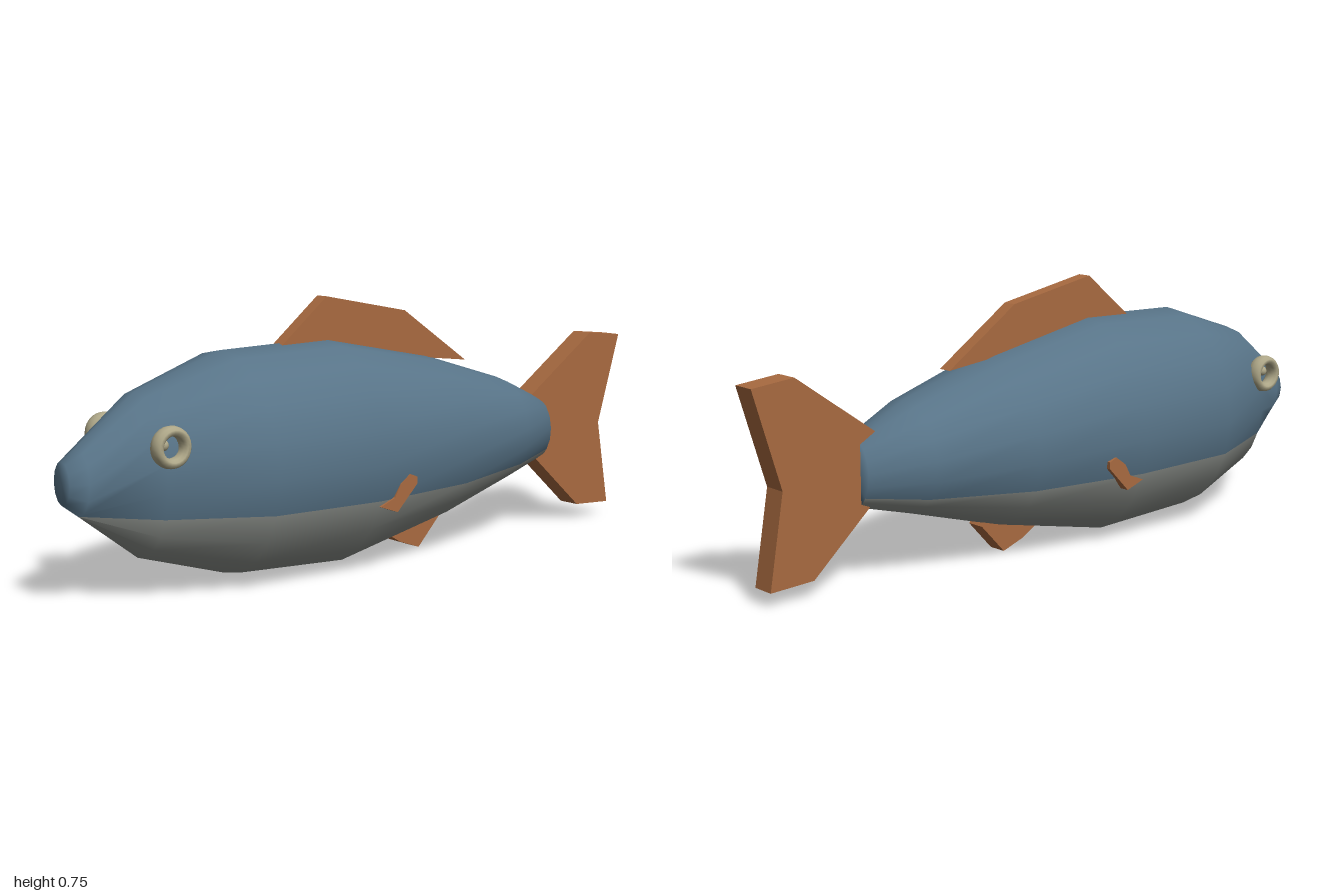
import * as THREE from 'three';

const mat = (name, color, side = THREE.FrontSide) => {
  const m = new THREE.MeshStandardMaterial({ color, side });
  m.name = name;
  return m;
};

// Body stations: x, top, bottom, half width, height of the belly colour line
const STATIONS = [
  [-1, 0.38, 0.265, 0.04, 0.265],
  [-0.955, 0.413, 0.232, 0.062, 0.232],
  [-0.78, 0.54, 0.1, 0.153, 0.222],
  [-0.51, 0.628, 0.02, 0.266, 0.215],
  [-0.16, 0.637, 0.004, 0.268, 0.211],
  [0.2, 0.566, 0.08, 0.225, 0.211],
  [0.5, 0.476, 0.165, 0.146, 0.222],
  [0.67, 0.4, 0.21, 0.07, 0.243],
];

// Smooth lofted body, each ring split at the belly line
function bodyGeometry() {
  const U = 6, L = 8, N = 2 * U + L;
  const pos = [], back = [], belly = [];
  for (const [x, top, bottom, w, line] of STATIONS) {
    const c = (top + bottom) / 2, h = (top - bottom) / 2;
    const cut = Math.acos(THREE.MathUtils.clamp((line - c) / h, -1, 1));
    for (let j = 0; j < N; j++) {
      let t;
      if (j <= U) t = cut * j / U;
      else if (j <= U + L) t = cut + 2 * (Math.PI - cut) * (j - U) / L;
      else t = 2 * Math.PI - cut * (N - j) / U;
      pos.push(x, c + h * Math.cos(t), w * Math.sin(t));
    }
  }
  const last = STATIONS.length - 1;
  for (let i = 0; i < last; i++) {
    for (let j = 0; j < N; j++) {
      const k = (j + 1) % N;
      const a = i * N + j, b = i * N + k, c = a + N, d = b + N;
      (j >= U && j < U + L ? belly : back).push(a, b, c, b, d, c);
    }
  }
  // End caps
  const nose = pos.length / 3, rear = nose + 1;
  pos.push(-1, 0.3225, 0, 0.67, 0.305, 0);
  for (let j = 0; j < N; j++) {
    const k = (j + 1) % N;
    back.push(nose, k, j, rear, last * N + j, last * N + k);
  }
  const g = new THREE.BufferGeometry();
  g.setAttribute('position', new THREE.Float32BufferAttribute(pos, 3));
  g.setIndex([...back, ...belly]);
  g.addGroup(0, back.length, 0);
  g.addGroup(back.length, belly.length, 1);
  g.computeVertexNormals();
  return g;
}

// Flat fin cut from an outline, centred on z
function fin(name, points, depth, material) {
  const shape = new THREE.Shape(points.map(([x, y]) => new THREE.Vector2(x, y)));
  const g = new THREE.ExtrudeGeometry(shape, { depth, bevelEnabled: false });
  g.translate(0, 0, -depth / 2);
  const mesh = new THREE.Mesh(g, material);
  mesh.name = name;
  return mesh;
}

export function createModel() {
  const blue = mat('slateBlue', 0x587488);
  const grey = mat('bellyGrey', 0x8c908b);
  const rust = mat('finRust', 0xa86a40);
  const cream = mat('eyeCream', 0xaea788);

  const fish = new THREE.Group();
  fish.name = 'fish';

  const body = new THREE.Mesh(bodyGeometry(), [blue, grey]);
  body.name = 'body';
  fish.add(body);

  fish.add(
    fin('dorsalFin', [[-0.33, 0.62], [0.355, 0.54], [0.12, 0.7], [-0.165, 0.755]], 0.042, rust),
    fin('tailFin', [[0.615, 0.41], [0.615, 0.235], [0.825, 0.047], [0.96, 0.04],
      [0.915, 0.3], [1, 0.575], [0.87, 0.588]], 0.07, rust),
    fin('analFin', [[0.04, 0.06], [0.1, 0.025], [0.17, 0], [0.25, 0.085], [0.2, 0.14]], 0.056, rust),
  );

  for (const s of [1, -1]) {
    const side = s > 0 ? 'Front' : 'Back';

    // Small side fin
    const pectoral = fin('pectoralFin' + side, [[-0.16, 0.195], [-0.1, 0.174], [-0.03, 0.245],
      [-0.03, 0.265], [-0.055, 0.275], [-0.09, 0.25], [-0.11, 0.215]], 0.05, rust);
    pectoral.position.z = s * 0.227;
    fish.add(pectoral);

    // Eye: rim ring with a small centre bead
    const eye = new THREE.Group();
    eye.name = 'eye' + side;
    const rim = new THREE.Mesh(new THREE.TorusGeometry(0.042, 0.014, 10, 24), cream);
    rim.name = 'eyeRim';
    rim.scale.z = 1.7;
    const bead = new THREE.Mesh(new THREE.SphereGeometry(0.015, 12, 8), cream);
    bead.name = 'eyeBead';
    bead.position.set(-0.012, 0.004, -s * 0.018);
    eye.add(rim, bead);
    eye.position.set(-0.775, 0.413, s * 0.16);
    fish.add(eye);
  }
  return fish;
}
